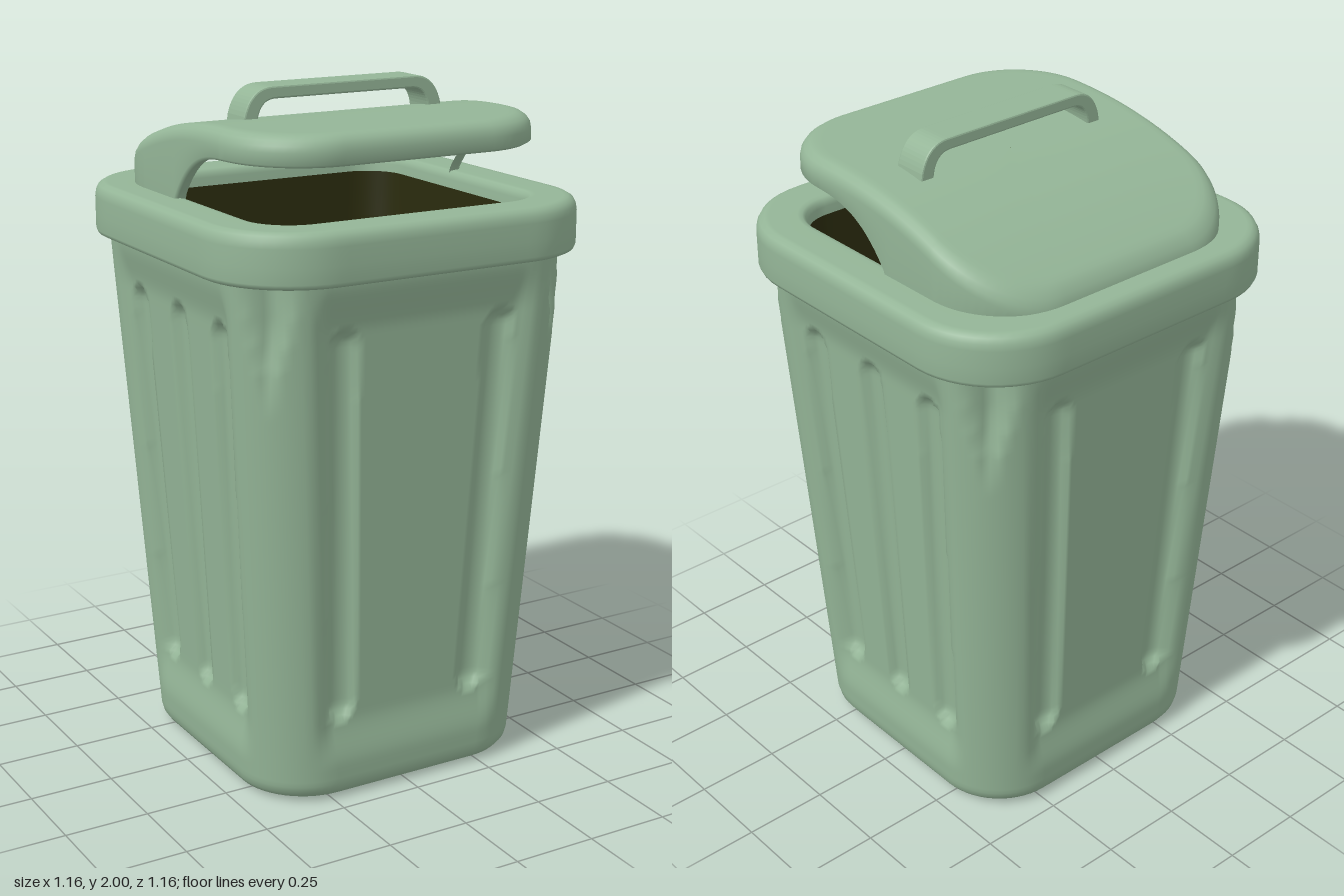
import * as THREE from 'three';

const green = new THREE.MeshStandardMaterial({ color: 0x94b597 });
green.name = 'sage green';
const dark = new THREE.MeshStandardMaterial({ color: 0x2a2b0e });
dark.name = 'dark olive';

const { smoothstep } = THREE.MathUtils;

// Rounded square outline, running front -> left -> back -> right.
// lx, lz are the coordinates in the frame of the nearest side.
function ring(half, r, flat = 24, arc = 12) {
  const pts = [];
  const k = half - r;
  for (let q = 0; q < 4; q++) {
    const add = (lx, lz, nx, nz) => {
      let p = [lx, lz], n = [nx, nz];
      for (let i = 0; i < q; i++) {
        p = [p[1], -p[0]];
        n = [n[1], -n[0]];
      }
      pts.push({ x: p[0], z: p[1], nx: n[0], nz: n[1], lx, lz, side: q });
    };
    for (let i = 0; i < flat; i++) add(-k + (2 * k * i) / flat, half, 0, 1);
    for (let i = 0; i < arc; i++) {
      const a = (i / arc) * Math.PI / 2;
      add(k + r * Math.sin(a), k + r * Math.cos(a), Math.sin(a), Math.cos(a));
    }
  }
  return pts;
}

// Skin over closed rows of [x, y, z]; rows going up face outwards.
function loft(name, rows, material) {
  const n = rows[0].length, index = [];
  for (let j = 0; j < rows.length - 1; j++) {
    for (let i = 0; i < n; i++) {
      const a = j * n + i, b = j * n + (i + 1) % n;
      index.push(a, b, b + n, a, b + n, a + n);
    }
  }
  const geo = new THREE.BufferGeometry();
  geo.setAttribute('position', new THREE.Float32BufferAttribute(rows.flat(2), 3));
  geo.setIndex(index);
  geo.computeVertexNormals();
  const mesh = new THREE.Mesh(geo, material);
  mesh.name = name;
  return mesh;
}

const level = (half, y, r) => ring(half, r).map(p => [p.x, y, p.z]);
const bodyHalf = y => 0.442 + 0.09 * y / 1.55;

// How far the body wall is pushed in: panels, grooves and corner notches
function wallDepth(p, y, half) {
  const across = v => 1 - smoothstep(Math.abs(v) / half, 0.56, 0.7);
  const tall = smoothstep(y, 0.1, 0.25) * (1 - smoothstep(y, 1.39, 1.54));
  let depth = 0.025 * Math.max(across(p.lx), across(p.lz)) * tall;
  const centres = p.side % 2 ? [-0.235, 0, 0.235] : [-0.235, 0.235];
  for (const c of centres) {
    const du = p.lx - c * half / 0.488;
    const dy = y - THREE.MathUtils.clamp(y, 0.285, 1.355);
    const d = Math.hypot(du, dy) / 0.046;
    if (d < 1) depth += 0.03 * Math.sqrt(1 - d * d);
  }
  const corner = Math.abs(p.lx - p.lz);
  const open = 0.11 * smoothstep(y, 1.17, 1.54);
  if (open > 0 && corner < open) depth += 0.05 * (1 - corner / open) * smoothstep(y, 1.17, 1.45);
  return depth;
}

function makeBody() {
  const levels = [[0, -0.44], [0, -0.2], [0, -0.045], [0.004, -0.028], [0.014, -0.012], [0.03, -0.003], [0.05, 0]];
  for (let i = 1; i <= 100; i++) levels.push([0.05 + 1.51 * i / 100, 0]);
  const rows = levels.map(([y, inset]) => {
    const half = bodyHalf(y) + inset;
    return ring(half, Math.min(0.2, half * 0.48), 56, 14).map(p => {
      const d = y > 0.05 ? wallDepth(p, y, half) : 0;
      return [p.x - p.nx * d, y, p.z - p.nz * d];
    });
  });
  return loft('body', rows, green);
}

// Lid heights along z
const lidTop = z => 1.92 - 0.2 * Math.max(0, (0.25 - z) / 0.75) ** 2.4;
const lidEdge = z => {
  const t = Math.max(0, (0.3 - z) / 0.355);
  return t > 1 ? 1.66 : Math.min(1.835 - 0.15 * t ** 3.5, lidTop(z) - 0.06);
};

function makeLid() {
  const lid = new THREE.Group();
  lid.name = 'lid';
  const row = (half, height) => ring(half, half * 0.5, 40, 14).map(p => {
    const z = p.z * 1.02 - 0.014;
    return [p.x, height(z), z];
  });
  const shrink = [0.42, 0.36, 0.28, 0.2, 0.12, 0.05, 0.001];
  const inner = z => Math.max(lidEdge(z), lidTop(z) - 0.07);
  // Rolled edge and domed top
  const shell = [
    row(0.44, z => lidEdge(z) + 0.005), row(0.465, lidEdge),
    row(0.476, z => lidEdge(z) + 0.008),
    ...[[0.476, 0.045], [0.473, 0.028], [0.465, 0.014], [0.452, 0.004], [0.438, 0]]
      .map(([h, drop]) => row(h, z => Math.max(lidTop(z) - drop, lidEdge(z) + 0.008))),
    ...shrink.map(h => row(h, lidTop)),
  ];
  lid.add(loft('lidShell', shell, green));
  // Hollow underside
  const under = [...shrink.map(h => row(h, inner)).reverse(), row(0.438, inner), row(0.44, z => lidEdge(z) + 0.005)];
  lid.add(loft('lidUnderside', under.reverse(), dark));
  lid.children[1].material = dark;
  return lid;
}

// Flat bar bent down at both ends
function makeHandle() {
  const s = new THREE.Shape();
  s.moveTo(-0.32, 1.89);
  s.lineTo(-0.315, 1.92);
  s.quadraticCurveTo(-0.295, 1.995, -0.23, 1.995);
  s.lineTo(0.23, 1.995);
  s.quadraticCurveTo(0.295, 1.995, 0.315, 1.92);
  s.lineTo(0.32, 1.89);
  s.lineTo(0.285, 1.89);
  s.quadraticCurveTo(0.28, 1.97, 0.22, 1.97);
  s.lineTo(-0.22, 1.97);
  s.quadraticCurveTo(-0.28, 1.97, -0.285, 1.89);
  const geo = new THREE.ExtrudeGeometry(s, {
    depth: 0.094, curveSegments: 12, bevelSize: 0.005, bevelThickness: 0.005, bevelSegments: 2,
  });
  const mesh = new THREE.Mesh(geo, green);
  mesh.name = 'lidHandle';
  mesh.position.z = -0.022;
  return mesh;
}

export function createModel() {
  const bin = new THREE.Group();
  bin.name = 'wasteBin';
  bin.add(makeBody());

  // Thick collar around the mouth
  const collar = [
    [0.46, 1.54], [0.55, 1.54], [0.562, 1.54], [0.573, 1.545], [0.578, 1.556], [0.578, 1.6], [0.578, 1.65],
    [0.575, 1.668], [0.567, 1.682], [0.553, 1.69], [0.54, 1.69], [0.46, 1.69], [0.447, 1.688],
    [0.438, 1.68], [0.433, 1.665], [0.43, 1.61],
  ].map(([half, y]) => level(half, y, half - 0.31));
  bin.add(loft('collar', collar, green));

  // Dark lining, facing inwards
  const lining = [[0.431, 1.64], [0.425, 1.5], [0.345, 0.08], [0.33, 0.06], [0.001, 0.06]]
    .map(([half, y]) => level(half, y, half * 0.28));
  bin.add(loft('lining', lining, dark));

  bin.add(makeLid(), makeHandle());
  return bin;
}
